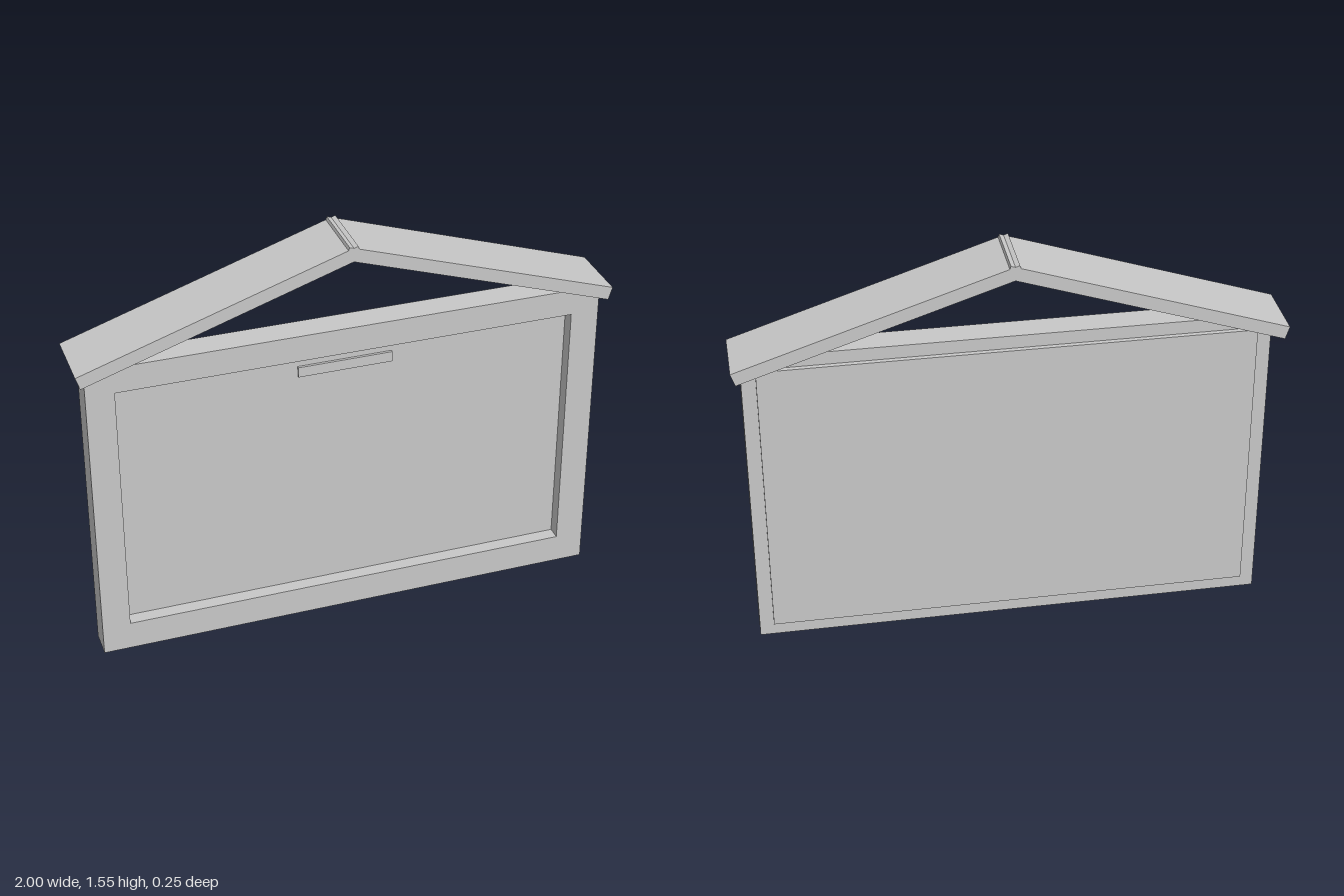
import * as THREE from 'three';

export function createModel() {
  const model = new THREE.Group();
  const grey = new THREE.MeshStandardMaterial({ color: 0xc8c8c8 });
  grey.name = 'light grey';

  const add = (name, geometry) => {
    const mesh = new THREE.Mesh(geometry, grey);
    mesh.name = name;
    model.add(mesh);
    return mesh;
  };
  // Box given by its lower and upper corners
  const box = (name, [x0, y0, z0], [x1, y1, z1]) =>
    add(name, new THREE.BoxGeometry(x1 - x0, y1 - y0, z1 - z0))
      .position.set((x0 + x1) / 2, (y0 + y1) / 2, (z0 + z1) / 2);
  const points = (list) => list.map(([x, y]) => new THREE.Vector2(x, y));
  const extrude = (shape, z0, z1) =>
    new THREE.ExtrudeGeometry(shape, { depth: z1 - z0, bevelEnabled: false }).translate(0, 0, z0);

  // Frame of posts and rails, its upper corners cut to the roof slope
  const outline = new THREE.Shape(points([
    [-0.965, 0], [0.963, 0], [0.963, 1.18], [0.86, 1.213], [-0.86, 1.213], [-0.965, 1.18],
  ]));
  outline.holes.push(new THREE.Path(points([
    [-0.86, 0.112], [-0.86, 1.112], [0.856, 1.112], [0.856, 0.112],
  ])));
  add('frame', extrude(outline, -0.015, 0.092));

  // Recessed board, its backing sheet and the small strip on the front
  box('board', [-0.86, 0.112, -0.02], [0.856, 1.112, 0.04]);
  box('backingSheet', [-0.91, 0.057, -0.034], [0.91, 1.163, -0.014]);
  box('strip', [-0.182, 1.02, 0.035], [0.174, 1.06, 0.05]);

  // Two sloping roof slabs that cross at the ridge
  const slope = Math.atan(0.3287), thick = 0.05;
  const dx = -thick * Math.sin(slope), dy = -thick * Math.cos(slope);
  const eave = [1, 1.217], ridge = [-0.016, 1.551];
  for (const side of [1, -1]) {
    const corners = [
      eave, ridge,
      [ridge[0] + dx, ridge[1] + dy],
      [eave[0] + dx, eave[1] + dy],
    ].map(([x, y]) => [side * x, y]);
    add(side > 0 ? 'roofLeft' : 'roofRight', extrude(new THREE.Shape(points(corners)), -0.125, 0.125));
  }
  return model;
}
